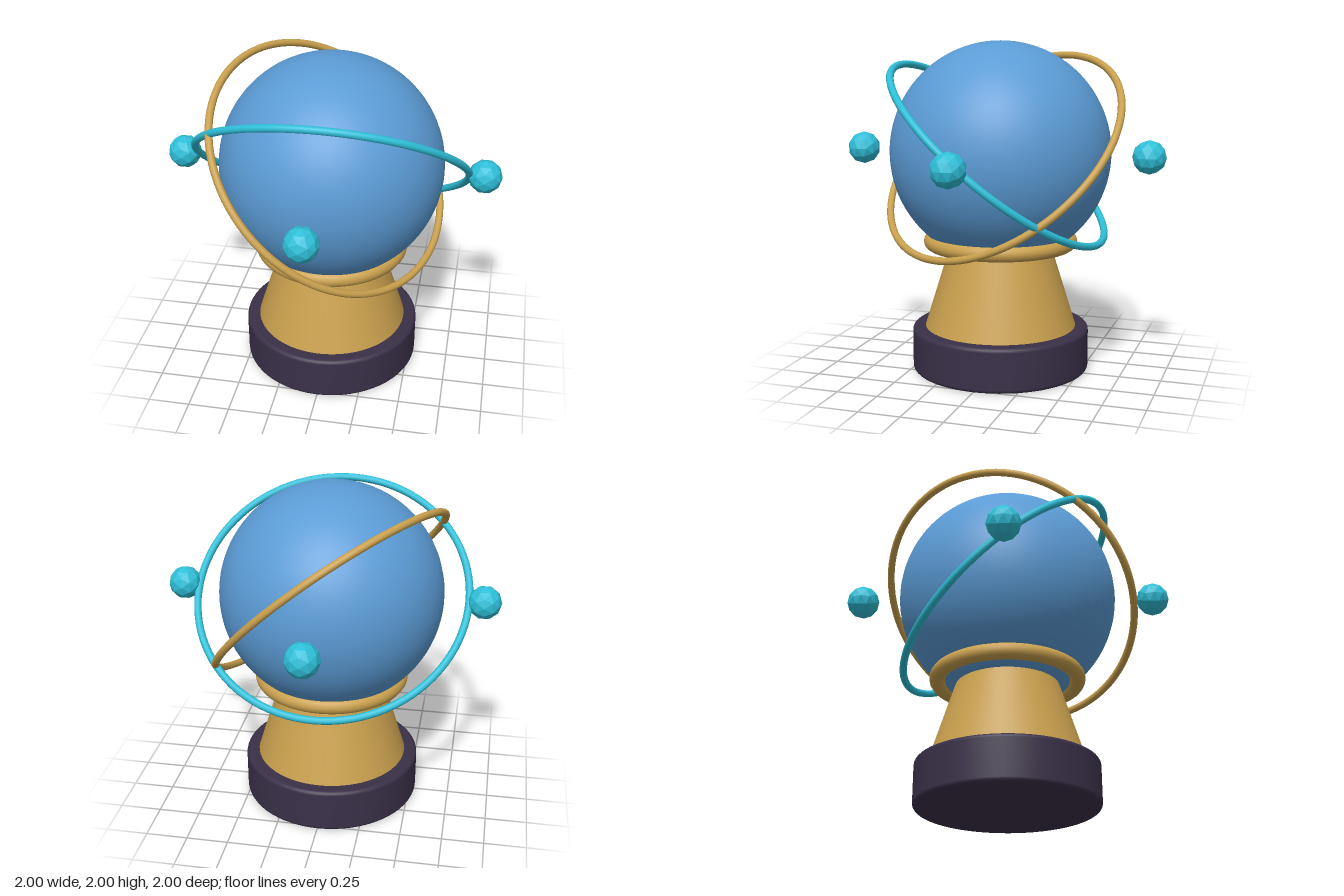
import * as THREE from 'three';

const CENTRE_Y = 1.335;

function part(name, geometry, color, flatShading = false) {
  const mesh = new THREE.Mesh(geometry, new THREE.MeshStandardMaterial({ color, flatShading }));
  mesh.name = name;
  return mesh;
}

// Disc with rounded rims, turned from a profile
function roundedDisc(radius, height, bevel) {
  const points = [new THREE.Vector2(0, 0)];
  const steps = 5;
  for (const [cy, start] of [[bevel, -Math.PI / 2], [height - bevel, 0]]) {
    for (let i = 0; i <= steps; i++) {
      const a = start + (i / steps) * Math.PI / 2;
      points.push(new THREE.Vector2(radius - bevel + Math.cos(a) * bevel, cy + Math.sin(a) * bevel));
    }
  }
  points.push(new THREE.Vector2(0, height));
  return new THREE.LatheGeometry(points, 64);
}

// Thin ring round the globe, facing along the given normal
function orbitRing(name, normal, color) {
  const ring = part(name, new THREE.TorusGeometry(0.81, 0.022, 12, 96), color);
  ring.quaternion.setFromUnitVectors(new THREE.Vector3(0, 0, 1), normal.normalize());
  ring.position.y = CENTRE_Y;
  return ring;
}

export function createModel() {
  const model = new THREE.Group();
  model.name = 'orbitGlobe';
  const blue = 0x5b9bd5, gold = 0xc9a04e, teal = 0x2ebfd8, dark = 0x3a3048;

  // Stand
  model.add(part('base', roundedDisc(0.54, 0.27, 0.025), dark));
  const pedestal = part('pedestal', new THREE.CylinderGeometry(0.3, 0.465, 0.53, 64), gold);
  pedestal.position.y = 0.525;
  model.add(pedestal);
  const collar = part('collar', new THREE.TorusGeometry(0.42, 0.048, 16, 64), gold);
  collar.rotation.x = Math.PI / 2;
  collar.position.y = 0.797;
  model.add(collar);

  // Globe
  const globe = part('globe', new THREE.SphereGeometry(0.665, 64, 48), blue);
  globe.position.y = CENTRE_Y;
  model.add(globe);

  // Tilted rings
  model.add(orbitRing('tealRing', new THREE.Vector3(0, 0.766, -0.643), teal));
  model.add(orbitRing('goldRing', new THREE.Vector3(0.615, 0.706, 0.35), gold));

  // Four faceted satellites on the equator
  const satellites = new THREE.Group();
  satellites.name = 'satellites';
  for (let i = 0; i < 4; i++) {
    const a = i * Math.PI / 2;
    const ball = part('satellite', new THREE.IcosahedronGeometry(0.1, 1), teal, true);
    ball.position.set(Math.cos(a) * 0.9, CENTRE_Y, Math.sin(a) * 0.9);
    satellites.add(ball);
  }
  model.add(satellites);

  return model;
}
